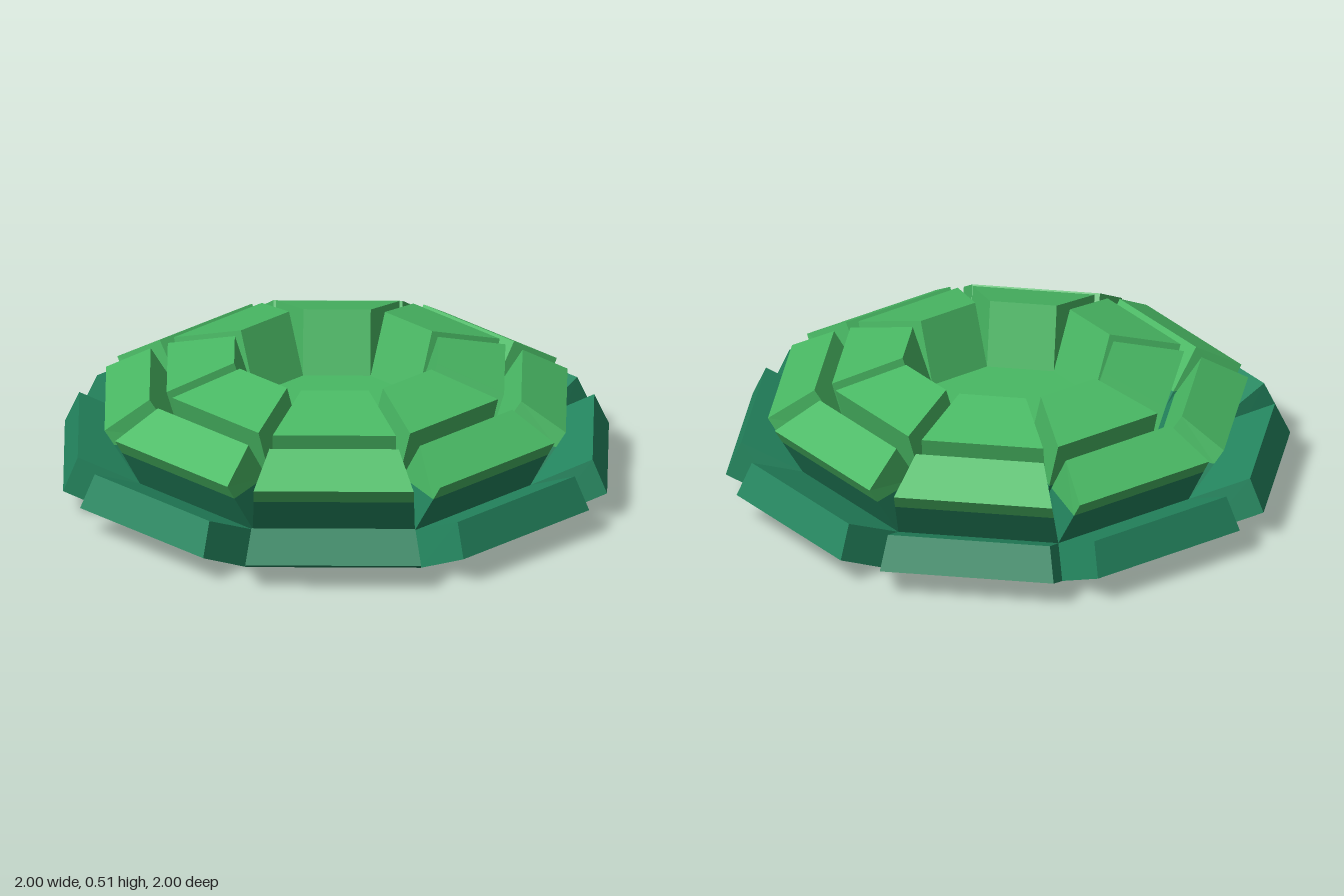
import * as THREE from 'three';

const SEGMENTS = 8;
const TAN = Math.tan(Math.PI / SEGMENTS);
const COS = Math.cos(Math.PI / SEGMENTS);
const COLOUR_HEIGHT = 0.265; // teal below, green above

// Each ring of blocks: [distance from axis, height, gap to the neighbour's seam]
const RINGS = [
  { name: 'outerBlock', base: [[0.739, 0, 0], [0.685, 0.12, 0]], top: [[0.954, 0.1, 0.08], [0.903, 0.22, 0.08]] },
  { name: 'middleBlock', base: [[0.685, 0.12, 0], [0.526, 0.215, 0]], top: [[0.809, 0.32, 0.05], [0.652, 0.415, 0.04]] },
  { name: 'innerBlock', base: [[0.526, 0.215, 0], [0.286, 0.287, 0]], top: [[0.592, 0.44, 0.027], [0.356, 0.51, 0.027]] },
];

// Corner of a block facing +z, on its left or right side
function corner([dist, y, gap], side) {
  return new THREE.Vector3(side * (dist * TAN - gap / COS), y, dist);
}

// Keep the part of a polygon above (sign 1) or below (sign -1) the colour height
function clip(polygon, sign) {
  const out = [];
  polygon.forEach((a, i) => {
    const b = polygon[(i + 1) % polygon.length];
    const da = sign * (a.y - COLOUR_HEIGHT);
    const db = sign * (b.y - COLOUR_HEIGHT);
    if (da >= 0) out.push(a);
    if (da * db < 0) out.push(a.clone().lerp(b, da / (da - db)));
  });
  return out;
}

// Five faces of a bevelled block, open towards the hollow underside
function blockFaces({ base: [bl, bu], top: [tl, tu] }) {
  const strip = (lo, hi) => [corner(lo, -1), corner(lo, 1), corner(hi, 1), corner(hi, -1)];
  const right = [bl, bu, tu, tl].map((p) => corner(p, 1));
  const left = [bl, tl, tu, bu].map((p) => corner(p, -1));
  return [strip(tl, tu), strip(bl, tl), strip(tu, bu), right, left];
}

// Block geometry with group 0 teal and group 1 green
function blockGeometry(ring) {
  const points = [];
  const geometry = new THREE.BufferGeometry();
  [-1, 1].forEach((sign, material) => {
    const start = points.length;
    for (const face of blockFaces(ring)) {
      const part = clip(face, sign);
      for (let i = 1; i < part.length - 1; i++) points.push(part[0], part[i], part[i + 1]);
    }
    if (points.length > start) geometry.addGroup(start, points.length - start, material);
  });
  geometry.setFromPoints(points);
  geometry.computeVertexNormals();
  return geometry;
}

export function createModel() {
  const model = new THREE.Group();
  model.name = 'segmentedDome';
  const teal = new THREE.MeshStandardMaterial({ name: 'teal', color: 0x24865f, side: THREE.DoubleSide });
  const green = new THREE.MeshStandardMaterial({ name: 'green', color: 0x49b964, side: THREE.DoubleSide });

  // Three rings of blocks
  for (const ring of RINGS) {
    const geometry = blockGeometry(ring);
    for (let i = 0; i < SEGMENTS; i++) {
      const block = new THREE.Mesh(geometry, [teal, green]);
      block.name = ring.name;
      block.rotation.y = ((i + 0.5) / SEGMENTS) * Math.PI * 2;
      model.add(block);
    }
  }

  // Sunken octagonal floor in the middle
  const floor = new THREE.Mesh(new THREE.CircleGeometry(0.286 / COS, SEGMENTS).rotateX(-Math.PI / 2), green);
  floor.name = 'centreFloor';
  floor.position.y = 0.287;
  model.add(floor);

  return model;
}
